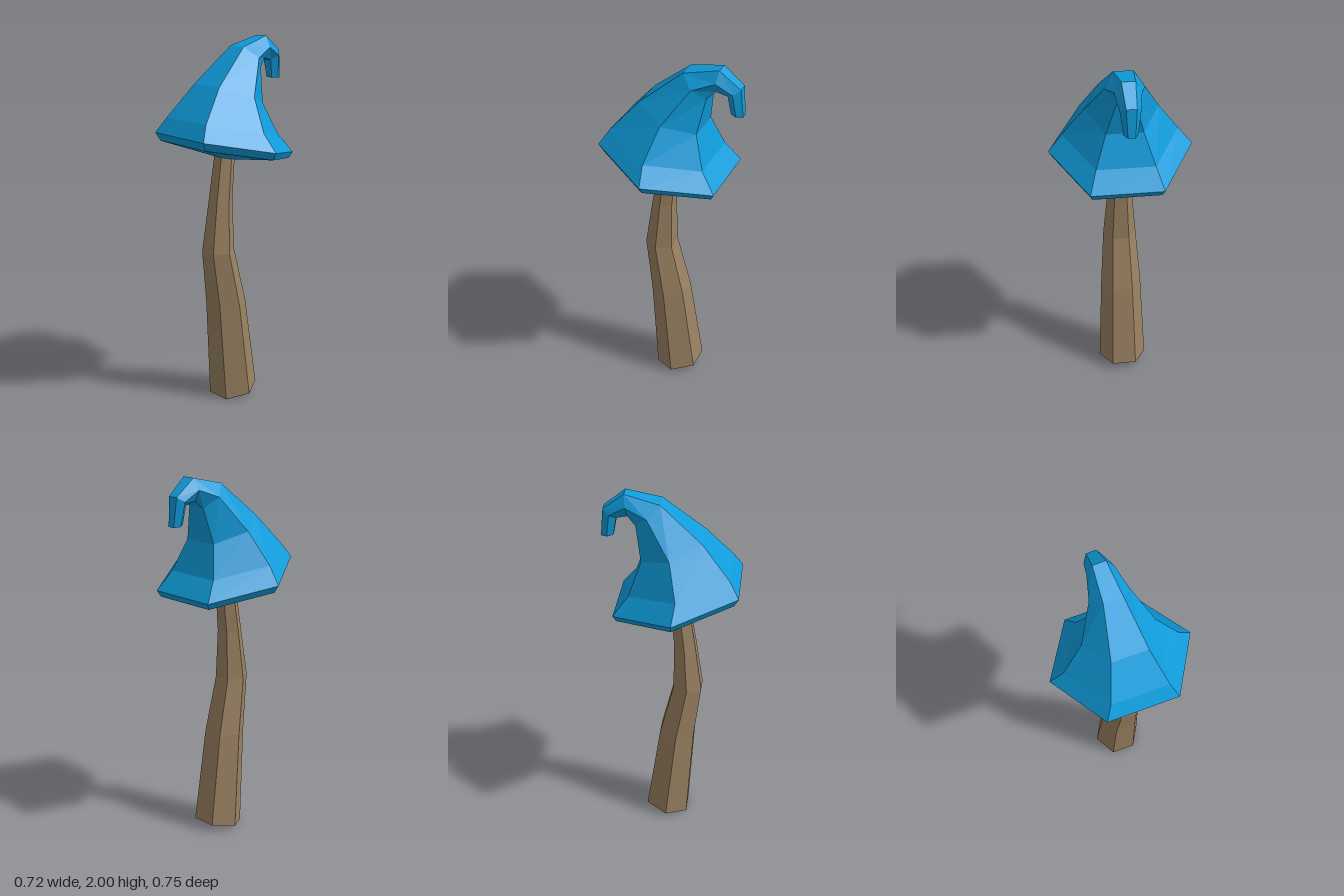
import * as THREE from 'three';

const SIDES = 6;
const TWIST = 0.018;

// Six-sided loft. Each ring: [left x, left y, right x, right y, half depth]
function loft(rings, closeStart, closeEnd) {
  const loops = rings.map(([lx, ly, rx, ry, depth]) => {
    const c = new THREE.Vector3((lx + rx) / 2, (ly + ry) / 2, 0);
    const u = new THREE.Vector3(rx - lx, ry - ly, 0).divideScalar(2 * Math.cos(Math.PI / 6));
    const points = [];
    for (let k = 0; k < SIDES; k++) {
      const a = Math.PI / 6 + TWIST + (k * 2 * Math.PI) / SIDES;
      const p = c.clone().addScaledVector(u, Math.cos(a));
      p.z = depth * Math.sin(a);
      points.push(p);
    }
    return { c, points };
  });
  const pos = [];
  const tri = (...pts) => pts.forEach((p) => pos.push(p.x, p.y, p.z));
  for (let k = 0; k < SIDES; k++) {
    const n = (k + 1) % SIDES;
    for (let i = 0; i < loops.length - 1; i++) {
      const lo = loops[i].points, hi = loops[i + 1].points;
      tri(lo[k], hi[k], lo[n]);
      tri(lo[n], hi[k], hi[n]);
    }
    const first = loops[0], last = loops[loops.length - 1];
    if (closeStart) tri(first.c, first.points[k], first.points[n]);
    if (closeEnd) tri(last.c, last.points[n], last.points[k]);
  }
  const geometry = new THREE.BufferGeometry();
  geometry.setAttribute('position', new THREE.Float32BufferAttribute(pos, 3));
  geometry.computeVertexNormals();
  return geometry;
}

export function createModel() {
  const group = new THREE.Group();
  group.name = 'mushroom';
  const brown = new THREE.MeshStandardMaterial({ color: 0x9a8262, flatShading: true, side: THREE.DoubleSide });
  brown.name = 'stem brown';
  const blue = new THREE.MeshStandardMaterial({ color: 0x0f9cdb, flatShading: true });
  blue.name = 'cap blue';

  // Crooked stem, hollow at the foot
  const stem = new THREE.Mesh(loft([
    [-0.095, 0.0, 0.135, 0.043, 0.135],
    [-0.13, 0.56, 0.06, 0.56, 0.112],
    [-0.168, 0.87, -0.015, 0.87, 0.09],
    [-0.13, 1.14, -0.018, 1.14, 0.067],
    [-0.09, 1.4, 0.005, 1.385, 0.055],
    [-0.085, 1.44, 0.01, 1.43, 0.054],
  ], false, false), brown);
  stem.name = 'stem';
  group.add(stem);

  // Cap: shallow underside, bevelled rim, slope curling over to a drooping tip
  const cap = new THREE.Mesh(loft([
    [-0.09, 1.388, 0.02, 1.366, 0.062],
    [-0.335, 1.485, 0.265, 1.356, 0.352],
    [-0.358, 1.53, 0.283, 1.39, 0.377],
    [-0.308, 1.61, 0.205, 1.492, 0.303],
    [-0.165, 1.775, 0.145, 1.66, 0.19],
    [0.05, 1.957, 0.175, 1.84, 0.1],
    [0.232, 2.0, 0.218, 1.884, 0.068],
    [0.342, 1.915, 0.275, 1.868, 0.052],
    [0.356, 1.765, 0.293, 1.77, 0.036],
  ], true, true), blue);
  cap.name = 'cap';
  group.add(cap);

  return group;
}
